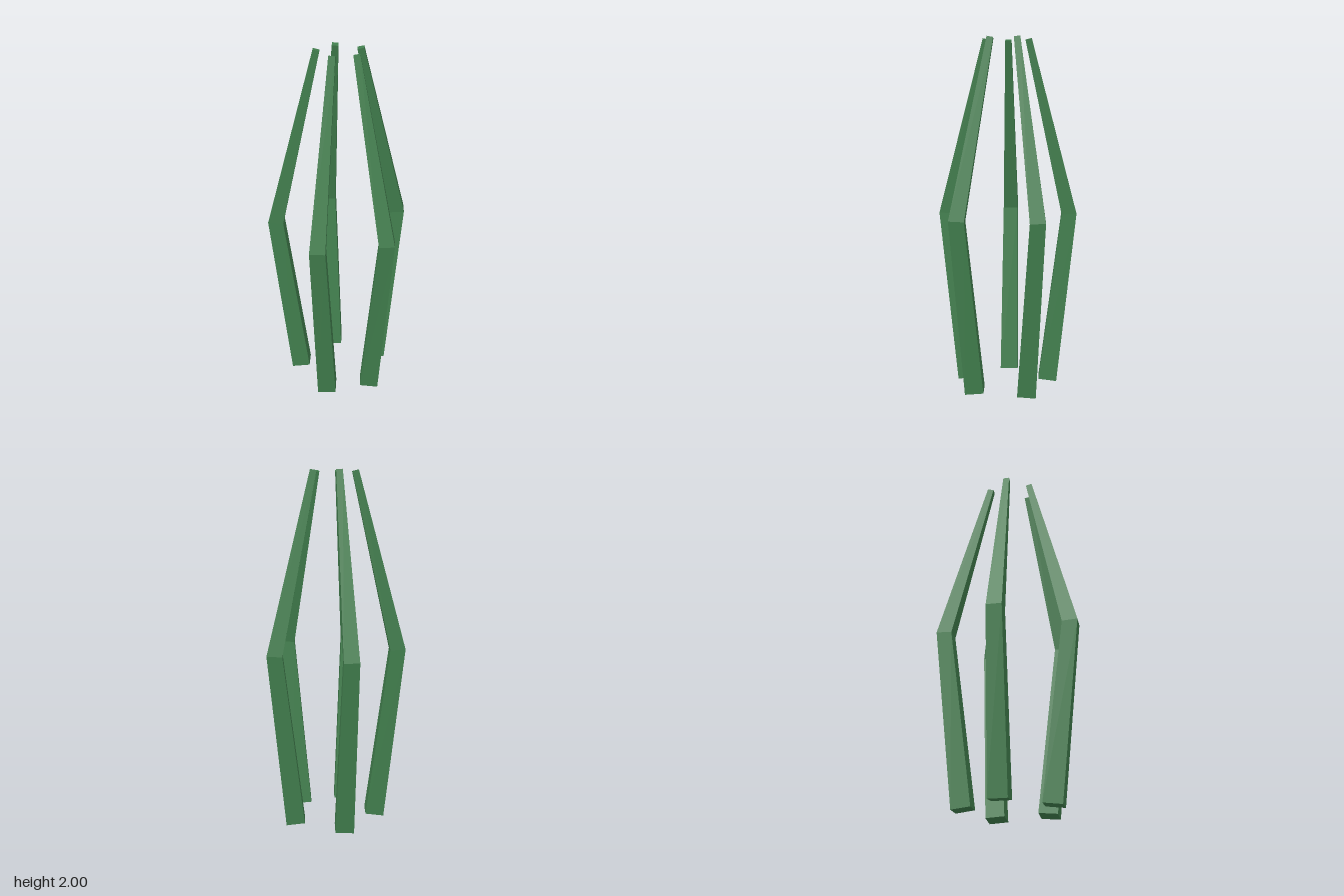
import * as THREE from 'three';

// Each stalk: [x, z] of its axis at the foot, the bend and the tip
const stalks = [
  [[0.22, 0.013], [0.343, 0.013], [0.098, 0.013]],
  [[0.039, -0.225], [0.073, -0.343], [0.005, -0.105]],
  [[-0.24, -0.114], [-0.344, -0.178], [-0.135, -0.05]],
  [[-0.207, 0.184], [-0.296, 0.268], [-0.118, 0.099]],
  [[0.088, 0.233], [0.147, 0.341], [0.031, 0.123]],
];
const radii = [0.074, 0.061, 0.025];
const heights = [0.009, 1, 1.994];

// Four-sided tapered stalk, bent outwards at mid height, ends cut square to the axis
function stalkGeometry(axis) {
  const geometry = new THREE.CylinderGeometry(1, 1, 2, 4, 2);
  const pos = geometry.attributes.position;
  for (let i = 0; i < pos.count; i++) {
    const k = Math.round(pos.getY(i)) + 1;
    const dx = pos.getX(i) * radii[k];
    const dz = pos.getZ(i) * radii[k];
    const from = axis[Math.max(k - 1, 0)];
    const to = axis[Math.min(k + 1, 2)];
    const run = heights[Math.min(k + 1, 2)] - heights[Math.max(k - 1, 0)];
    const tilt = (dx * (to[0] - from[0]) + dz * (to[1] - from[1])) / run;
    pos.setXYZ(i, axis[k][0] + dx, heights[k] - tilt, axis[k][1] + dz);
  }
  const flat = geometry.toNonIndexed();
  flat.computeVertexNormals();
  return flat;
}

export function createModel() {
  const group = new THREE.Group();
  group.name = 'stalkCluster';
  const green = new THREE.MeshStandardMaterial({ color: 0x417e4d, flatShading: true });
  green.name = 'leafGreen';
  stalks.forEach((axis, i) => {
    const stalk = new THREE.Mesh(stalkGeometry(axis), green);
    stalk.name = `stalk${i + 1}`;
    group.add(stalk);
  });
  return group;
}
